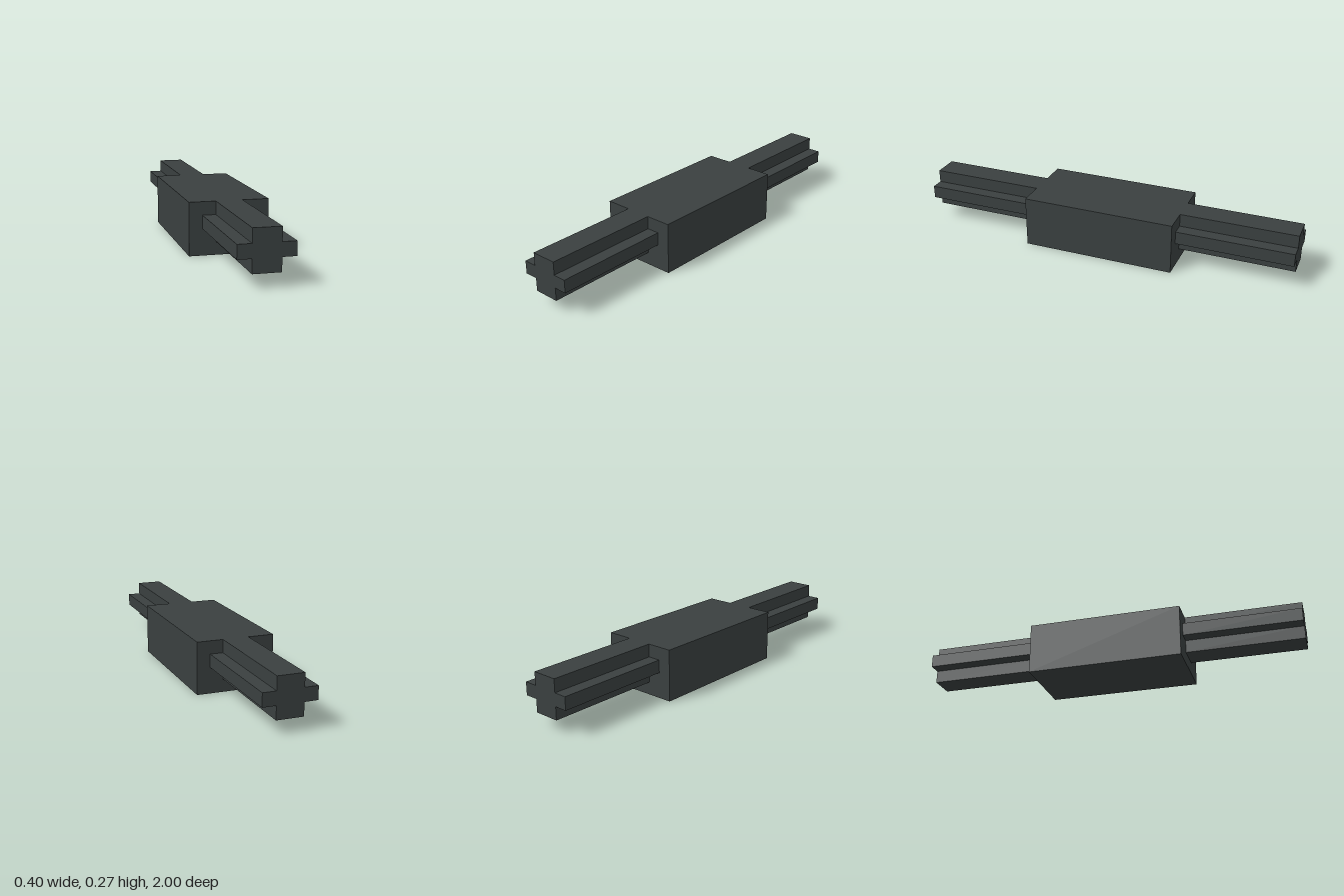
import * as THREE from 'three';

export function createModel() {
  const model = new THREE.Group();
  model.name = 'axleConnector';
  const darkGrey = new THREE.MeshStandardMaterial({ color: 0x3a4040 });
  darkGrey.name = 'darkGrey';

  const unit = 1 / 15; // half the width of the axle core
  const bodyLength = 0.8;
  const axleLength = 0.6;

  // Central block
  const body = new THREE.Mesh(new THREE.BoxGeometry(6 * unit, 4 * unit, bodyLength), darkGrey);
  body.name = 'body';
  body.position.y = 2 * unit;
  model.add(body);

  // Cross-shaped axle section, flush with the top of the block
  const cross = new THREE.Shape([
    [-1, 1], [1, 1], [1, 2], [2, 2], [2, 3], [1, 3],
    [1, 4], [-1, 4], [-1, 3], [-2, 3], [-2, 2], [-1, 2],
  ].map(([x, y]) => new THREE.Vector2(x * unit, y * unit)));
  const axleGeometry = new THREE.ExtrudeGeometry(cross, { depth: axleLength, bevelEnabled: false });

  // One axle on each end
  for (const [name, z] of [['frontAxle', bodyLength / 2], ['backAxle', -bodyLength / 2 - axleLength]]) {
    const axle = new THREE.Mesh(axleGeometry, darkGrey);
    axle.name = name;
    axle.position.z = z;
    model.add(axle);
  }
  return model;
}
